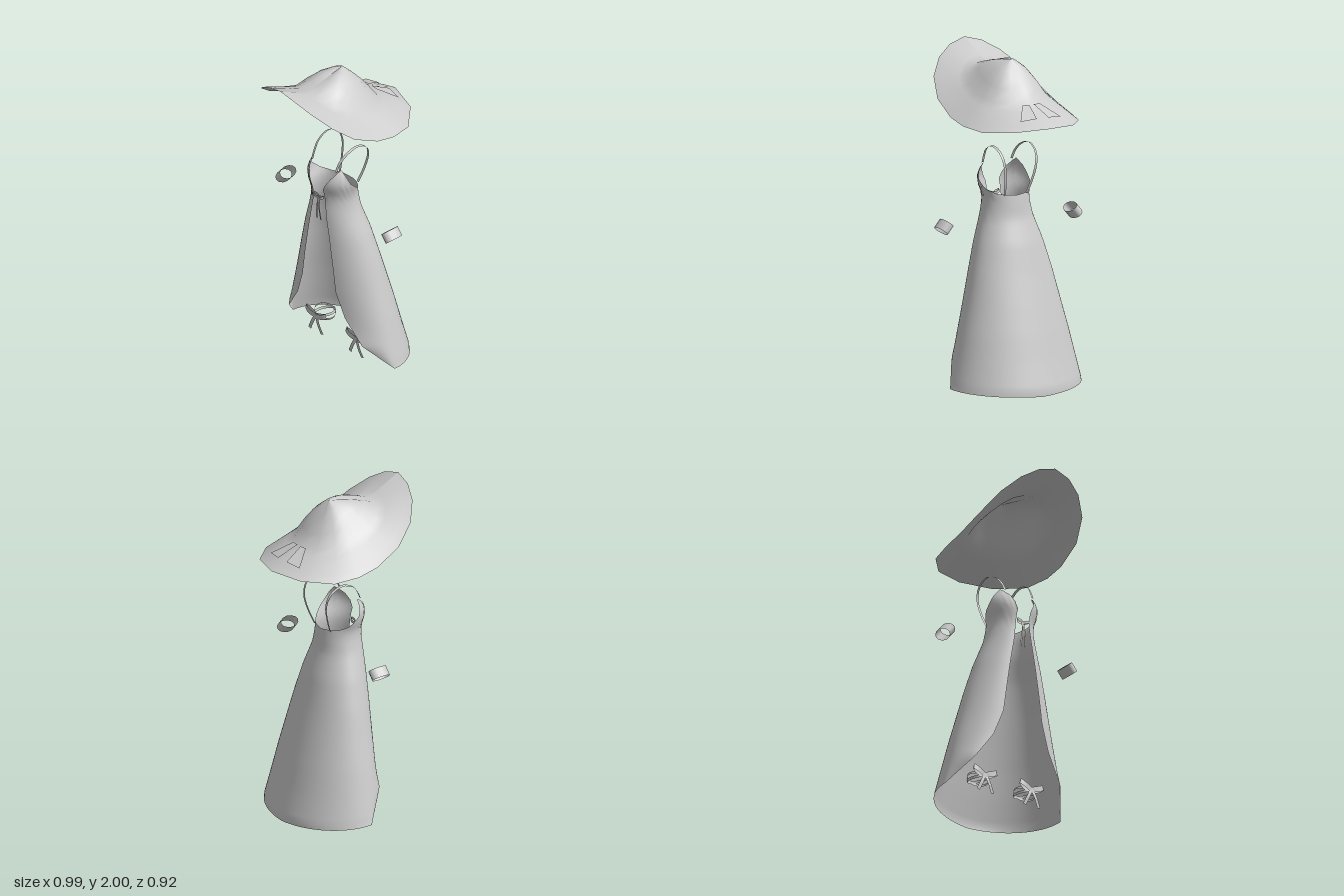
import * as THREE from 'three';

const mat = new THREE.MeshStandardMaterial({ color: 0xcccccc, side: THREE.DoubleSide });
const V = (x, y, z) => new THREE.Vector3(x, y, z);
const lerp = THREE.MathUtils.lerp;

// Smooth indexed sheet: fn(u, v) gives a point, u and v run 0..1
function sheet(nu, nv, fn) {
  const pos = [], idx = [];
  for (let j = 0; j <= nv; j++)
    for (let i = 0; i <= nu; i++) pos.push(...fn(i / nu, j / nv).toArray());
  for (let j = 0; j < nv; j++)
    for (let i = 0; i < nu; i++) {
      const a = j * (nu + 1) + i, b = a + 1, c = a + nu + 1, d = c + 1;
      idx.push(a, b, d, a, d, c);
    }
  const g = new THREE.BufferGeometry();
  g.setAttribute('position', new THREE.Float32BufferAttribute(pos, 3));
  g.setIndex(idx);
  g.computeVertexNormals();
  return g;
}

// Flat band along a curve, spread along a fixed direction
function ribbon(points, width, dir, closed = false, n = 12) {
  const curve = new THREE.CatmullRomCurve3(points, closed);
  const d = dir.clone().normalize();
  return sheet(n, 1, (u, v) => curve.getPoint(u).addScaledVector(d, (v - 0.5) * width));
}

function add(parent, name, geometry) {
  const m = new THREE.Mesh(geometry, mat);
  m.name = name;
  parent.add(m);
  return m;
}

// Linear lookup in rows sorted by their first number
function lookup(rows, t) {
  if (t <= rows[0][0]) return rows[0];
  for (let i = 1; i < rows.length; i++)
    if (t <= rows[i][0]) {
      const a = rows[i - 1], b = rows[i], k = (t - a[0]) / (b[0] - a[0]);
      return a.map((q, j) => lerp(q, b[j], k));
    }
  return rows[rows.length - 1];
}

// Dress sections: y, front edge x, front edge z, side x, side z, back z
const SECTIONS = [
  [0.04, 0.428, -0.05, 0.43, -0.05, -0.388],
  [0.20, 0.31, 0.095, 0.39, -0.05, -0.345],
  [0.36, 0.20, 0.13, 0.352, -0.045, -0.305],
  [0.52, 0.14, 0.148, 0.31, -0.04, -0.262],
  [0.70, 0.115, 0.15, 0.265, -0.03, -0.212],
  [0.87, 0.088, 0.15, 0.217, -0.01, -0.168],
  [1.02, 0.06, 0.15, 0.163, 0.01, -0.117],
  [1.10, 0.05, 0.145, 0.145, 0.015, -0.108],
  [1.16, 0.046, 0.15, 0.143, 0.02, -0.1],
  [1.20, 0.046, 0.163, 0.162, 0.025, -0.095],
  [1.25, 0.05, 0.168, 0.168, 0.03, -0.09],
  [1.29, 0.06, 0.15, 0.158, 0.03, -0.09],
  [1.33, 0.07, 0.125, 0.125, 0.035, -0.09],
];
// Neckline height from the front edge (0) round to the back (1)
const NECK = [[0, 1.2], [0.07, 1.28], [0.14, 1.315], [0.22, 1.335], [0.3, 1.3],
  [0.42, 1.235], [0.55, 1.19], [0.7, 1.165], [1, 1.155]];

function dressPoint(u, v) {
  const s = u * 2 - 1, side = Math.sign(s), w = 1 - Math.abs(s);
  const y = lerp(0.042 * (1 - w) + 0.004 * w, lookup(NECK, w)[1], v);
  const [, ex, ez, sx, sz, bz] = lookup(SECTIONS, y);
  const t0 = Math.asin(ex / sx), t = lerp(t0, Math.PI, w);
  const depth = t < Math.PI / 2 ? (ez - sz) / Math.max(Math.cos(t0), 0.05) : sz - bz;
  return V(side * sx * Math.sin(t), y, sz + depth * Math.cos(t));
}

// Hat half outline from front to back: rim x, rim y, rim z, crown base y
const RIM = [
  [0, 2.0, 0.46, 1.895], [0.11, 1.97, 0.448, 1.89], [0.21, 1.91, 0.408, 1.87],
  [0.30, 1.82, 0.328, 1.835], [0.355, 1.715, 0.20, 1.80], [0.373, 1.635, 0.03, 1.77],
  [0.37, 1.605, -0.10, 1.75], [0.335, 1.59, -0.25, 1.735], [0.20, 1.60, -0.398, 1.725],
  [0, 1.612, -0.462, 1.72],
];
const LOOP = [...RIM, ...RIM.slice(1, -1).reverse().map(([x, ...r]) => [-x, ...r])];

function hatPoint(u, v) {
  const [x, y, z, by] = LOOP[Math.round(u * LOOP.length) % LOOP.length];
  const base = V(x * 0.56, by, z * 0.535), peak = V(0, 1.953, -0.04);
  if (v <= 0.5) return V(x, y, z).lerp(base, v * 2);
  const k = v * 2 - 1, p = base.lerp(peak, k);
  p.y += 0.1 * Math.abs(x) * Math.sin(k * Math.PI);
  return p;
}

// Bow: two loops, two tails and a knot, centred at the origin and facing +z
function makeBow(name, w, h, drop, spread, band) {
  const bow = new THREE.Group();
  bow.name = name;
  for (const s of [-1, 1]) {
    add(bow, 'bowLoop', ribbon([V(0, 0, 0), V(s * w * 0.6, h * 0.5, 0.014), V(s * w, h, 0.004),
      V(s * w * 0.6, h * 0.4, -0.008)], band * 1.5, V(-s * 0.3, 1, 0), true, 14));
    add(bow, 'bowTail', ribbon([V(s * 0.004, 0, 0.004), V(s * spread * 0.5, -drop * 0.45, 0.01),
      V(s * spread, -drop, 0.004)], band, V(1, s * 0.3, 0), false, 6));
  }
  add(bow, 'bowKnot', new THREE.BoxGeometry(band, band * 1.2, 0.014));
  return bow;
}

export function createModel() {
  const model = new THREE.Group();
  model.name = 'outfit';

  add(model, 'dress', sheet(56, 36, dressPoint));
  add(model, 'hat', sheet(LOOP.length, 8, hatPoint));

  const chestBow = makeBow('chestBow', 0.042, 0.018, 0.15, 0.018, 0.011);
  chestBow.position.set(0, 1.122, 0.147);
  model.add(chestBow);

  for (const s of [-1, 1]) {
    // Shoulder straps
    add(model, 'shoulderStrap', ribbon([V(s * 0.1, 1.325, 0.11), V(s * 0.105, 1.375, 0.085),
      V(s * 0.115, 1.42, 0.045), V(s * 0.122, 1.449, -0.04), V(s * 0.118, 1.41, -0.118),
      V(s * 0.108, 1.34, -0.143), V(s * 0.092, 1.24, -0.122), V(s * 0.075, 1.158, -0.09)],
      0.016, V(1, -s * 0.3, 0), false, 20));

    // Wrist cuffs
    const cuff = add(model, 'wristCuff', new THREE.CylinderGeometry(0.06, 0.06, 0.06, 12, 1, true));
    cuff.scale.x = 0.63;
    cuff.rotation.z = s * 0.7;
    cuff.position.set(s * 0.447, 1.0, -0.01);

    // Flat ribbon tails on the back of the hat
    const corner = [V(s * 0.14, 1.652, -0.36), V(s * 0.04, 1.662, -0.38),
      V(s * 0.06, 1.722, -0.255), V(s * 0.015, 1.722, -0.26)];
    add(model, 'hatRibbon', sheet(1, 1, (u, v) => corner[u + 2 * v].clone()));

    // Ankle ties: two crossing bands with a bow in front
    const tie = new THREE.Group();
    tie.name = 'ankleTie';
    for (const tilt of [-0.28, 0.28]) {
      const band = add(tie, 'ankleBand', new THREE.CylinderGeometry(0.065, 0.065, 0.016, 16, 1, true));
      band.position.y = 0.15;
      band.rotation.z = tilt;
    }
    const bow = makeBow('ankleBow', 0.085, 0.035, 0.105, 0.052, 0.022);
    bow.position.set(0, 0.15, 0.068);
    tie.add(bow);
    tie.position.set(s * 0.17, 0, -0.06);
    model.add(tie);
  }
  return model;
}
